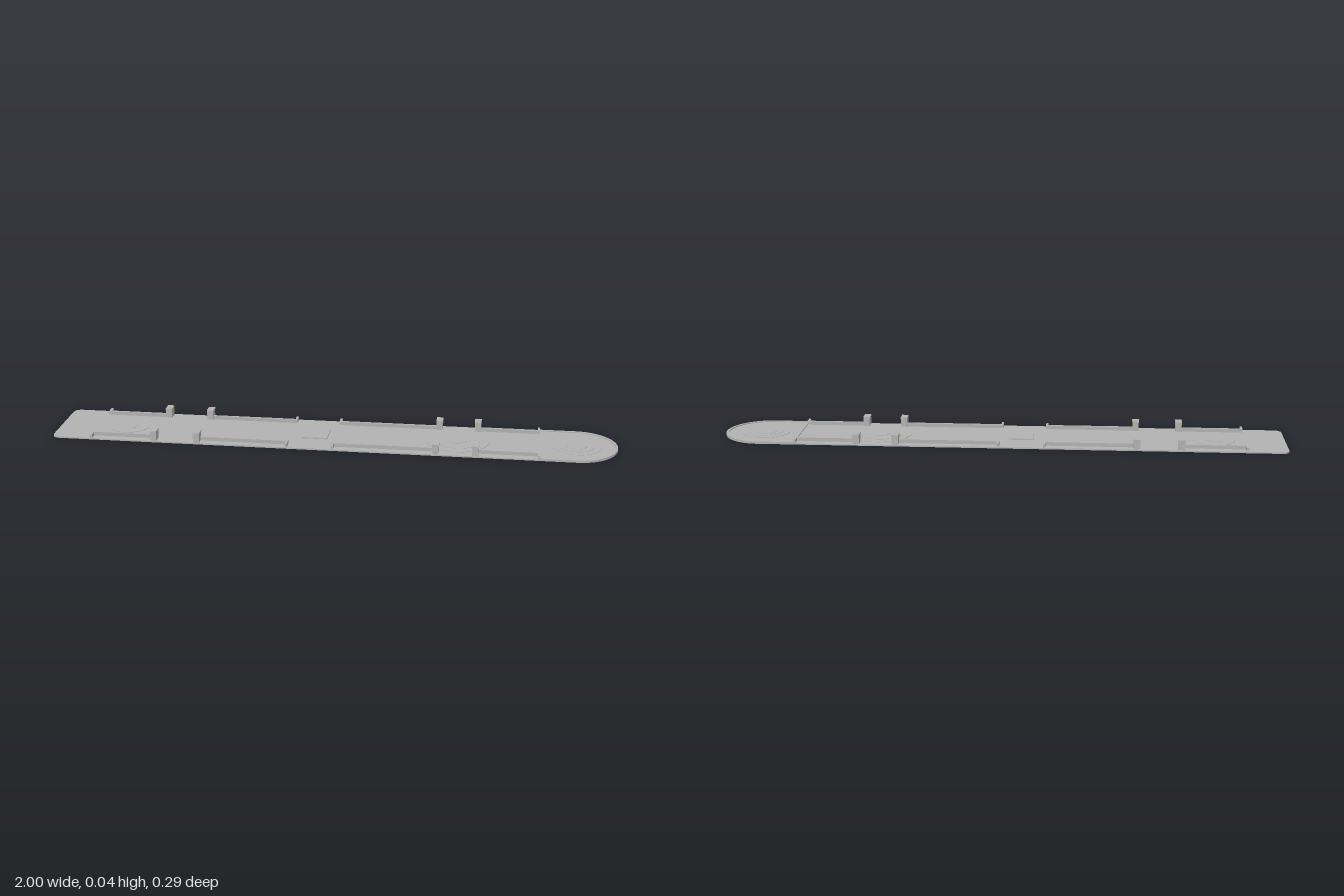
import * as THREE from 'three';

const HALF = 0.143;   // half width of the deck
const CAP = 0.857;    // centre of the rounded end
const FLOOR = 0.011;  // top of the deck

export function createModel() {
  const model = new THREE.Group();
  const grey = new THREE.MeshStandardMaterial({ color: 0xb2b2b2 });
  grey.name = 'light grey';

  const add = (name, geometry, x = 0, y = 0, z = 0) => {
    const mesh = new THREE.Mesh(geometry, grey);
    mesh.name = name;
    mesh.position.set(x, y, z);
    model.add(mesh);
  };
  const box = (name, x0, x1, y0, y1, z0, z1) => add(name,
    new THREE.BoxGeometry(x1 - x0, y1 - y0, Math.abs(z1 - z0)),
    (x0 + x1) / 2, (y0 + y1) / 2, (z0 + z1) / 2);
  // Upright slab from an outline in plan
  const slab = (name, shape, y0, y1) => {
    const g = new THREE.ExtrudeGeometry(shape, { depth: y1 - y0, bevelEnabled: false, curveSegments: 32 });
    g.rotateX(-Math.PI / 2);
    add(name, g, 0, y0, 0);
  };
  // Outline with a half-round right end and softened left corners
  const outline = (Type, x0, r, corner) => {
    const s = new Type();
    s.moveTo(x0 + corner, -r);
    s.lineTo(CAP, -r);
    s.absarc(CAP, 0, r, -Math.PI / 2, Math.PI / 2, false);
    s.lineTo(x0 + corner, r);
    if (corner) s.quadraticCurveTo(x0, r, x0, r - corner);
    else s.lineTo(x0, r);
    s.lineTo(x0, -r + corner);
    if (corner) s.quadraticCurveTo(x0, -r, x0 + corner, -r);
    return s;
  };

  // Deck and the raised lip round its rounded end
  slab('deck', outline(THREE.Shape, -1, HALF, 0.03), 0.006, FLOOR);
  const lip = outline(THREE.Shape, 0.728, HALF, 0);
  lip.holes.push(outline(THREE.Path, 0.736, HALF - 0.009, 0));
  slab('endLip', lip, FLOOR, 0.0145);

  // Round mounts: raised rings, each [outer radius, inner radius, height]
  const mounts = [
    [-0.75, [[0.073, 0.032, 0.0015], [0.032, 0, 0.0025]]],
    [0.44, [[0.112, 0.08, 0.0015], [0.08, 0.032, 0.0025], [0.032, 0, 0.0035]]],
    [CAP, [[0.085, 0.06, 0.001], [0.06, 0.036, 0.002], [0.036, 0, 0.003]]],
  ];
  for (const [x, rings] of mounts) {
    for (const [outer, inner, h] of rings) {
      const s = new THREE.Shape().absarc(x, 0, outer, 0, Math.PI * 2, false);
      if (inner) s.holes.push(new THREE.Path().absarc(x, 0, inner, 0, Math.PI * 2, true));
      slab('mountRing', s, FLOOR, FLOOR + h);
    }
  }

  // Square hatch amidships
  box('hatch', -0.11, -0.02, FLOOR, 0.0155, -0.046, 0.046);

  // Rails with end returns, and capped posts, on both sides
  for (const side of [1, -1]) {
    for (const [a, b] of [[-0.86, -0.63], [-0.475, -0.15], [0.005, 0.37], [0.51, 0.73]]) {
      box('rail', a, b, FLOOR, 0.024, side * 0.105, side * 0.114);
      for (const x of [a, b - 0.008]) {
        box('railEnd', x, x + 0.008, FLOOR, 0.024, side * 0.114, side * 0.141);
      }
    }
    for (const x of [-0.63, -0.475, 0.37, 0.508]) {
      box('post', x - 0.011, x + 0.011, FLOOR, 0.041, side * 0.101, side * 0.138);
      box('postCap', x - 0.012, x + 0.012, 0.041, 0.046, side * 0.1, side * 0.14);
    }
  }
  return model;
}
